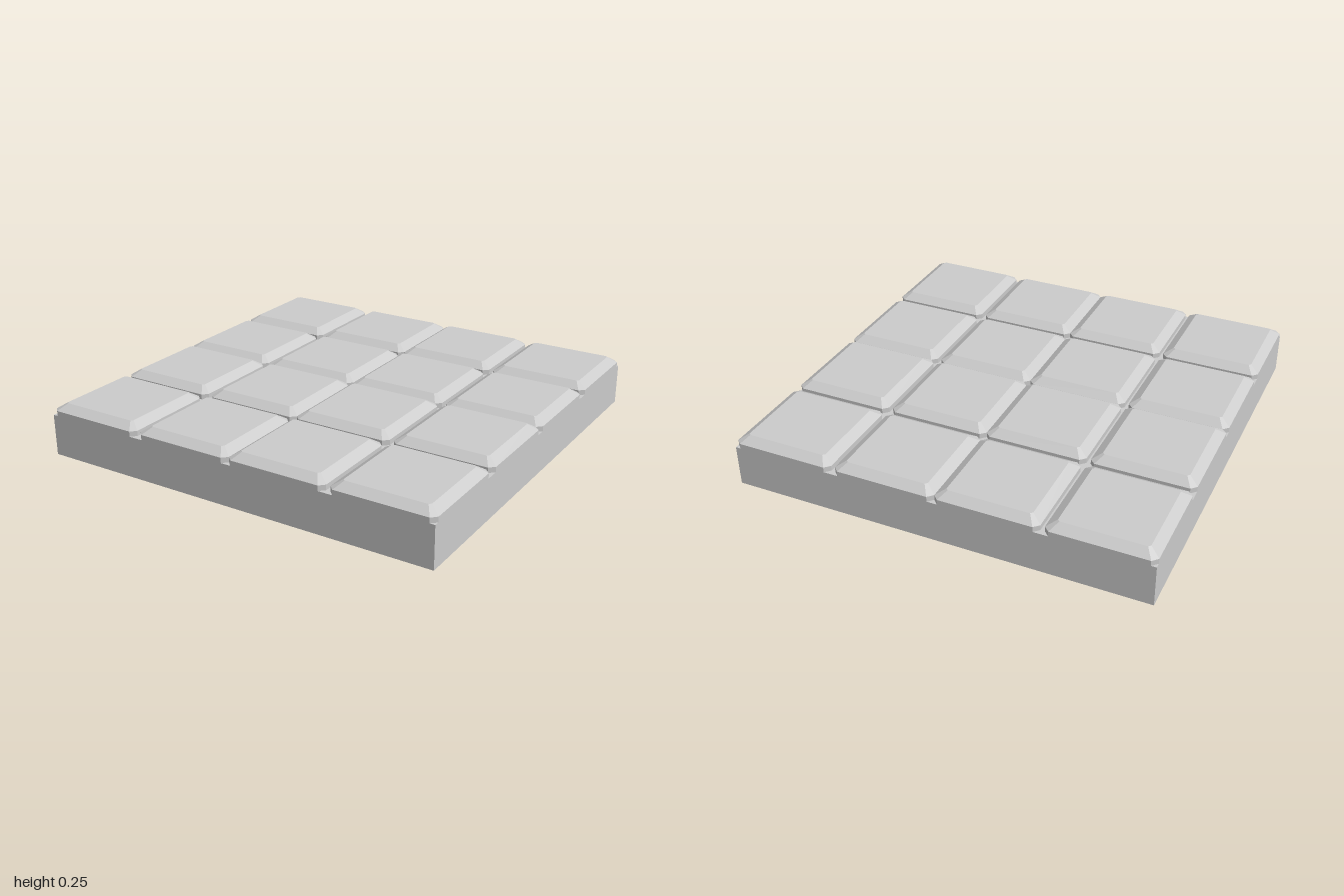
import * as THREE from 'three';

const material = new THREE.MeshStandardMaterial({ color: 0xcccccc, flatShading: true, side: THREE.DoubleSide });
const CELL = 0.5;    // quarter of a module
const TILE = 0.49;   // tile width, leaving half a groove
const CUT = 0.025;   // clipped tile corner
const FLOOR = 0.2, RIM = 0.225, TOP = 0.255;

// Square with clipped corners, as [x, z] pairs
function octagon(min, max, c) {
  return [
    [min + c, min], [max - c, min], [max, min + c], [max, max - c],
    [max - c, max], [min + c, max], [min, max - c], [min, min + c],
  ];
}

// Hollow tile: upright rim, bevel and flat top
function tileGeometry() {
  const bevel = 0.045;
  const rings = [
    [FLOOR, octagon(0, TILE, CUT)],
    [RIM, octagon(0, TILE, CUT)],
    [TOP, octagon(bevel, TILE - bevel, 0.01)],
  ].map(([y, ring]) => ring.map(([x, z]) => [x, y, z]));
  const centre = [TILE / 2, TOP, TILE / 2];
  const positions = [];
  for (let i = 0; i < 8; i++) {
    const j = (i + 1) % 8;
    for (let r = 0; r < 2; r++) {
      const low = rings[r], up = rings[r + 1];
      positions.push(...low[i], ...up[i], ...low[j], ...low[j], ...up[i], ...up[j]);
    }
    positions.push(...centre, ...rings[2][j], ...rings[2][i]);
  }
  const geometry = new THREE.BufferGeometry();
  geometry.setAttribute('position', new THREE.Float32BufferAttribute(positions, 3));
  geometry.computeVertexNormals();
  return geometry.translate(-CELL, 0, -CELL);
}

// Groove floor around one tile: an L along two sides and the outer corner triangle
function grooveGeometry() {
  const toShape = (points) => new THREE.Shape(points.map(([x, z]) => new THREE.Vector2(x, -z)));
  const outer = toShape([[0, 0], [CUT, 0], [0, CUT]]);
  const inner = toShape([
    [TILE - CUT, 0], [CELL, 0], [CELL, CELL], [0, CELL], [0, TILE - CUT],
    [CUT, TILE], [TILE - CUT, TILE], [TILE, TILE - CUT], [TILE, CUT],
  ]);
  return new THREE.ShapeGeometry([outer, inner])
    .rotateX(-Math.PI / 2)
    .translate(-CELL, FLOOR, -CELL);
}

function add(parent, geometry, name) {
  const mesh = new THREE.Mesh(geometry, material);
  mesh.name = name;
  parent.add(mesh);
  return mesh;
}

export function createModel() {
  const model = new THREE.Group();
  model.name = 'tiledFloor';
  const tile = tileGeometry();
  const groove = grooveGeometry();

  // Four modules of four tiles, each tile turned about its module's centre
  for (const x of [-0.5, 0.5]) {
    for (const z of [-0.5, 0.5]) {
      const floorModule = new THREE.Group();
      floorModule.name = 'floorModule';
      floorModule.position.set(x, 0, z);
      for (let k = 0; k < 4; k++) {
        add(floorModule, tile, 'tile').rotation.y = k * Math.PI / 2;
        add(floorModule, groove, 'grooveFloor').rotation.y = k * Math.PI / 2;
      }
      model.add(floorModule);
    }
  }

  // Thin outer walls and the dividing walls of the open underside
  const wall = new THREE.PlaneGeometry(2, FLOOR).translate(0, FLOOR / 2, 0);
  for (const d of [-1, 0, 1]) {
    const name = d === 0 ? 'dividingWall' : 'outerWall';
    const across = add(model, wall, name);
    across.position.z = d;
    across.rotation.y = d < 0 ? Math.PI : 0;
    const along = add(model, wall, name);
    along.position.x = d;
    along.rotation.y = d < 0 ? -Math.PI / 2 : Math.PI / 2;
  }
  return model;
}
